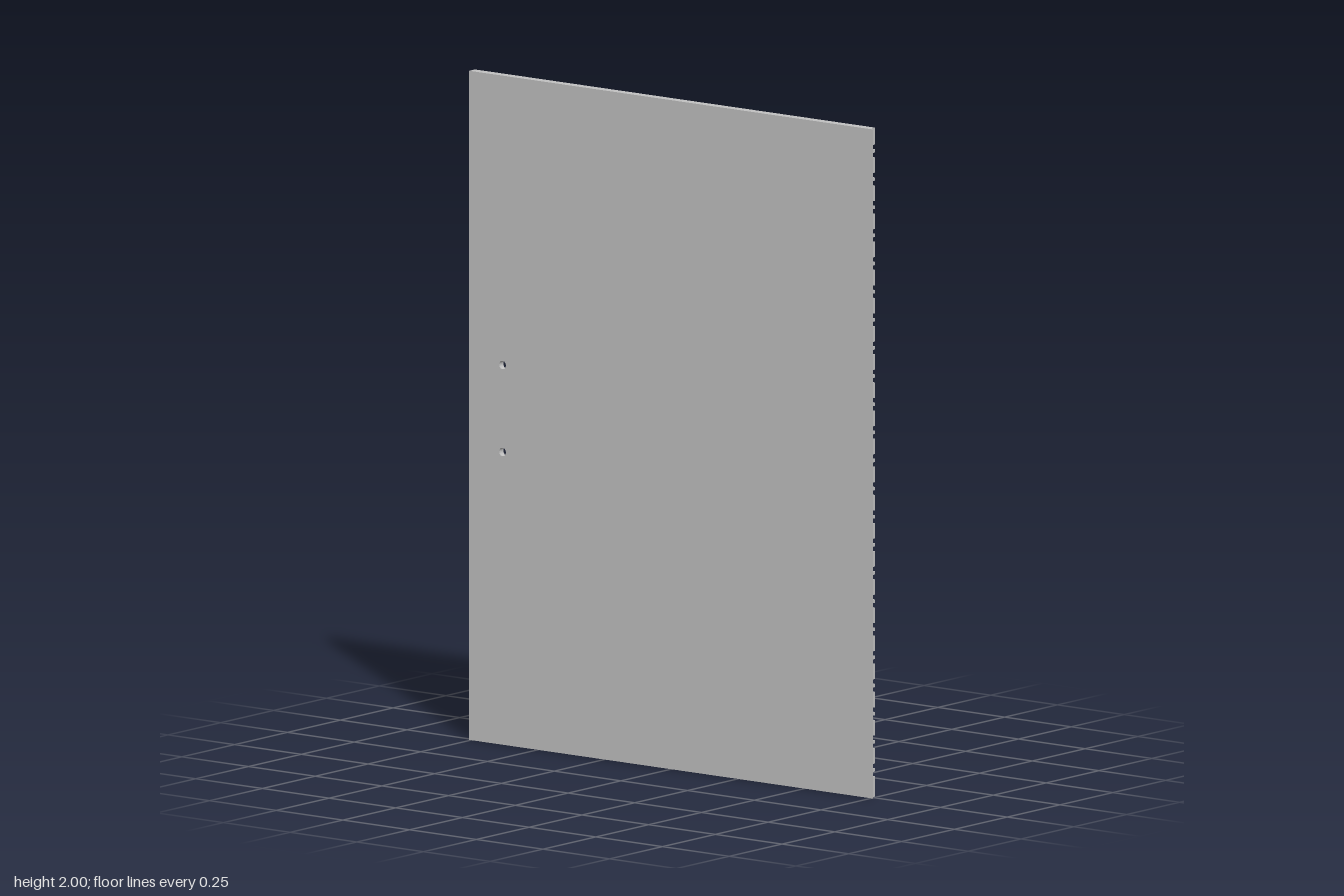
import * as THREE from 'three';

const LEFT = -0.757, EDGE = 0.742, LIP = 0.757, TOP = 2;
const BACK = -0.015, MID = -0.003, FLOOR = 0.005, FRONT = 0.0125;
const BOLT_X = -0.632, BOLT_Y = [0.875, 1.135];

// rectangle with cut corners, shrunk by an inset
function cutRectangle(inset) {
  const x0 = -0.58 + inset, x1 = 0.648 - inset, y0 = 0.025 + inset, y1 = 1.975 - inset;
  const c = 0.045 - inset * 0.3;
  return [[x0 + c, y0], [x1 - c, y0], [x1, y0 + c], [x1, y1 - c],
    [x1 - c, y1], [x0 + c, y1], [x0, y1 - c], [x0, y0 + c]];
}

const toPath = (pts) => new THREE.Path(pts.map(([x, y]) => new THREE.Vector2(x, y)));

function circle(x, y, r) {
  return new THREE.Path().absarc(x, y, r, 0, Math.PI * 2, true);
}

// sheet outline; optional paired notches open to the hinge edge
function sheet(notched) {
  const s = new THREE.Shape();
  s.moveTo(LEFT, 0);
  s.lineTo(EDGE, 0);
  if (notched) {
    for (let i = 0; i < 23; i++) {
      for (const dy of [-0.019, 0.005]) {
        const y = 0.08 + i * 0.0841 + dy;
        s.lineTo(EDGE, y);
        s.lineTo(0.69, y);
        s.lineTo(0.69, y + 0.014);
        s.lineTo(EDGE, y + 0.014);
      }
    }
  }
  s.lineTo(EDGE, TOP);
  s.lineTo(LEFT, TOP);
  return s;
}

export function createModel() {
  const group = new THREE.Group();
  const grey = new THREE.MeshStandardMaterial({ color: 0xc0c0c0 });
  grey.name = 'plain grey';

  const add = (name, geometry) => {
    const mesh = new THREE.Mesh(geometry, grey);
    mesh.name = name;
    group.add(mesh);
    return mesh;
  };
  const slab = (name, shape, z0, z1) => {
    const geo = new THREE.ExtrudeGeometry(shape, { depth: z1 - z0, bevelEnabled: false, curveSegments: 12 });
    add(name, geo).position.z = z0;
  };

  // front skin with two handle bolt holes
  const skin = sheet(false);
  for (const y of BOLT_Y) skin.holes.push(circle(BOLT_X, y, 0.0125));
  slab('frontSkin', skin, FLOOR, FRONT);

  // solid layer around the recess
  const middle = sheet(false);
  middle.holes.push(toPath(cutRectangle(0)));
  for (const y of BOLT_Y) middle.holes.push(circle(BOLT_X, y, 0.0125));
  slab('middleFrame', middle, MID, FLOOR);

  // back layer with hinge notches, keyhole slots and counterbores
  const back = sheet(true);
  back.holes.push(toPath(cutRectangle(0)));
  for (const y of BOLT_Y) back.holes.push(circle(BOLT_X, y, 0.019));
  for (let i = 0; i < 12; i++) {
    const y = 0.063 + i * 0.1674, x = -0.69;
    back.holes.push(toPath([[x - 0.008, y - 0.028], [x + 0.008, y - 0.028], [x + 0.016, y + 0.012],
      [x + 0.012, y + 0.028], [x - 0.012, y + 0.028], [x - 0.016, y + 0.012]]));
  }
  for (let i = 0; i < 6; i++) {
    const y = 0.158 + i * 0.335, x = -0.661;
    back.holes.push(toPath([[x - 0.006, y - 0.018], [x + 0.006, y - 0.018],
      [x + 0.006, y + 0.018], [x - 0.006, y + 0.018]]));
  }
  slab('backFrame', back, BACK, MID);

  // sloping walls of the recess
  const outer = cutRectangle(0), inner = cutRectangle(0.022);
  const pos = [];
  outer.forEach((a, i) => {
    const j = (i + 1) % outer.length;
    const A = [...a, BACK], B = [...outer[j], BACK];
    const C = [...inner[j], FLOOR - 0.0002], D = [...inner[i], FLOOR - 0.0002];
    pos.push(...A, ...D, ...C, ...A, ...C, ...B);
  });
  const walls = new THREE.BufferGeometry();
  walls.setAttribute('position', new THREE.Float32BufferAttribute(pos, 3));
  walls.computeVertexNormals();
  add('recessWalls', walls);

  // tapered lip along the hinge edge
  const lip = new THREE.Shape();
  lip.moveTo(EDGE, -FRONT);
  lip.lineTo(LIP, -FRONT);
  lip.lineTo(EDGE, 0);
  const lipGeo = new THREE.ExtrudeGeometry(lip, { depth: TOP, bevelEnabled: false });
  lipGeo.rotateX(-Math.PI / 2);
  add('edgeLip', lipGeo);

  return group;
}
